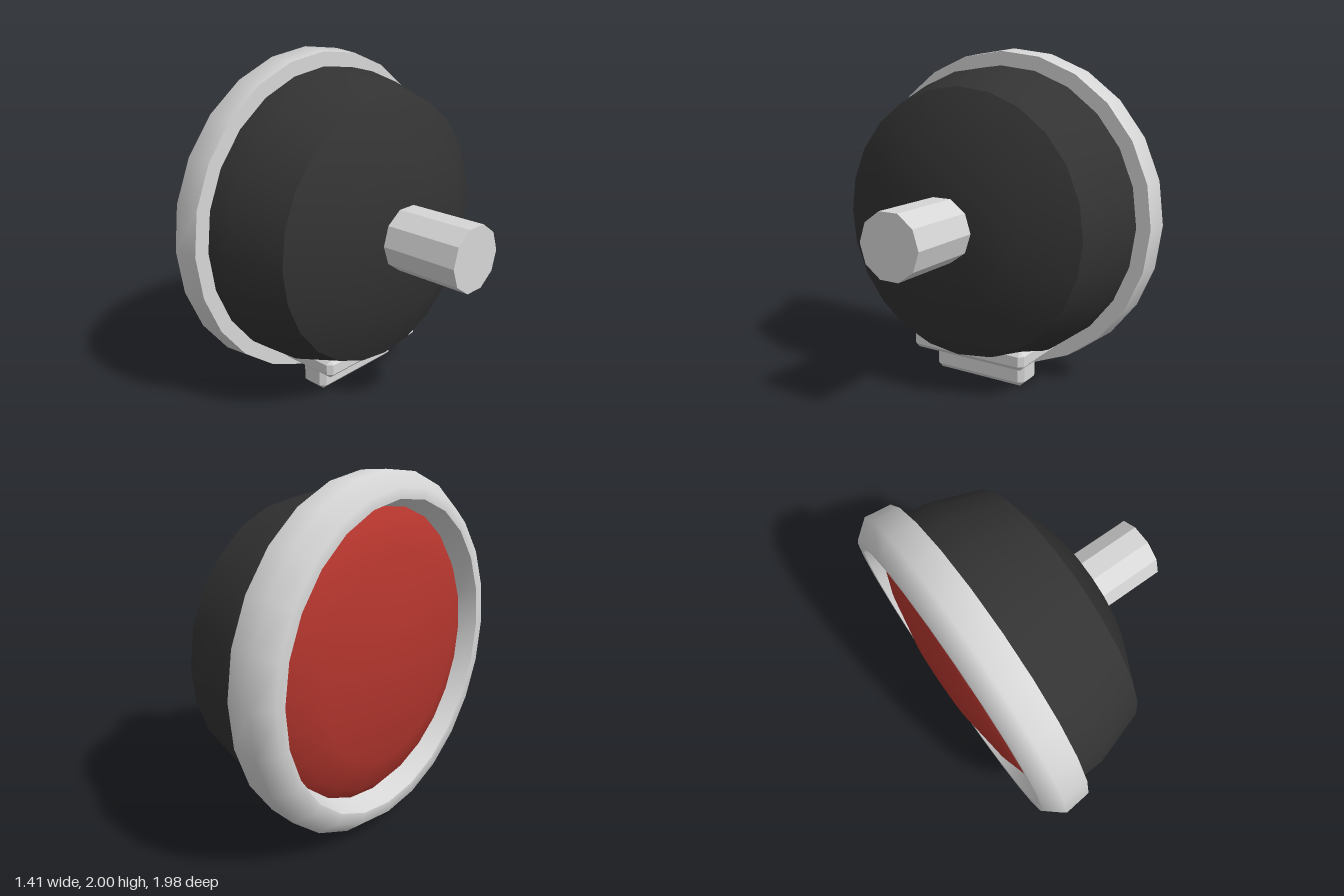
import * as THREE from 'three';
import { toCreasedNormals } from 'three/addons/utils/BufferGeometryUtils.js';
import { ConvexGeometry } from 'three/addons/geometries/ConvexGeometry.js';

const AXIS_HEIGHT = 1.01;

function material(name, color) {
  const m = new THREE.MeshStandardMaterial({ color });
  m.name = name;
  return m;
}

// Surface of revolution about the x axis; profile points are [radius, x]
function turned(name, profile, mat, crease) {
  const points = profile.map(([r, x]) => new THREE.Vector2(r, x));
  const geometry = new THREE.LatheGeometry(points, 24).rotateZ(-Math.PI / 2);
  const mesh = new THREE.Mesh(toCreasedNormals(geometry, crease), mat);
  mesh.name = name;
  mesh.position.y = AXIS_HEIGHT;
  return mesh;
}

// Box with every edge and corner chamfered by c
function chamferedBox(name, w, h, d, c, mat) {
  const points = [];
  for (const sx of [-1, 1]) for (const sy of [-1, 1]) for (const sz of [-1, 1]) {
    const x = w / 2, y = h / 2, z = d / 2;
    points.push(
      new THREE.Vector3(sx * x, sy * (y - c), sz * (z - c)),
      new THREE.Vector3(sx * (x - c), sy * y, sz * (z - c)),
      new THREE.Vector3(sx * (x - c), sy * (y - c), sz * z)
    );
  }
  const mesh = new THREE.Mesh(new ConvexGeometry(points), mat);
  mesh.name = name;
  return mesh;
}

export function createModel() {
  const group = new THREE.Group();
  group.name = 'roundLamp';
  const metal = material('light grey metal', 0xd6d6d6);
  const black = material('black housing', 0x333333);
  const red = material('red lens', 0xb2352d);

  // Tapered housing with a chamfered back
  group.add(turned('housing', [
    [0.89, -0.5], [0.89, -0.4], [0.883, -0.24], [0.785, 0.075], [0.475, 0.232], [0, 0.232]
  ], black, 0.53));

  // Rounded rim around the lens
  group.add(turned('rim', [
    [0.8, -0.53], [0.85, -0.648], [0.91, -0.648], [0.99, -0.555], [0.975, -0.4], [0.86, -0.4]
  ], metal, 0.95));

  // Shallow domed lens
  group.add(turned('lens', [
    [0, -0.707], [0.25, -0.695], [0.57, -0.645], [0.74, -0.59], [0.81, -0.53]
  ], red, 0.9));

  // Ten-sided shaft at the back
  const shaftGeometry = new THREE.CylinderGeometry(0.19, 0.19, 0.495, 10).rotateZ(-Math.PI / 2);
  const shaft = new THREE.Mesh(toCreasedNormals(shaftGeometry, 0.4), metal);
  shaft.name = 'shaft';
  shaft.position.set(0.4595, AXIS_HEIGHT, 0);
  group.add(shaft);

  // Mounting plate and foot below the housing
  const plate = chamferedBox('mountingPlate', 0.46, 0.118, 0.78, 0.028, metal);
  plate.position.set(-0.235, 0.224, 0);
  const foot = chamferedBox('mountingFoot', 0.186, 0.24, 0.63, 0.03, metal);
  foot.position.set(-0.24, 0.12, 0);
  group.add(plate, foot);

  return group;
}
